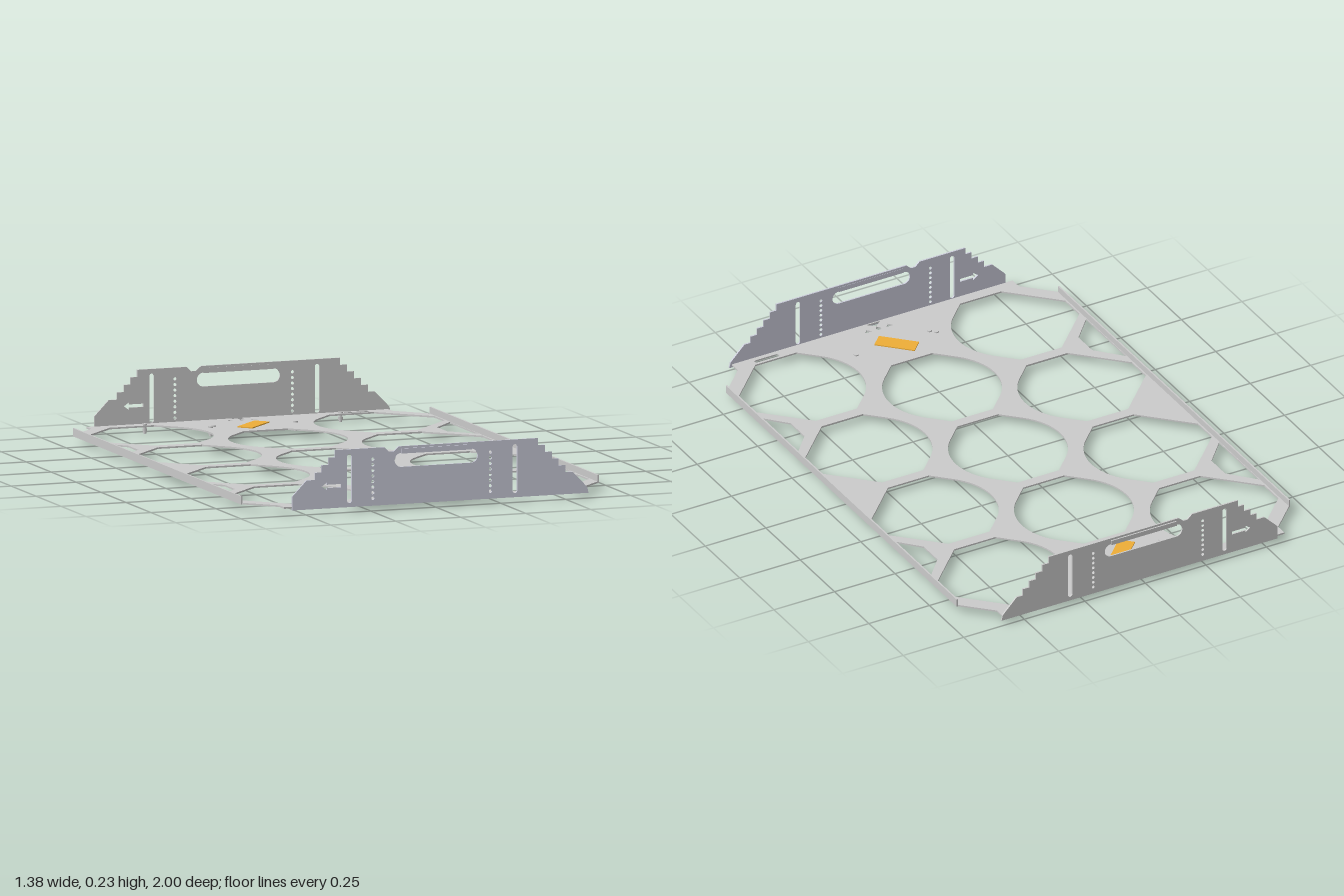
import * as THREE from 'three';

const grey = new THREE.MeshStandardMaterial({ color: 0xcccccc });
const blueGrey = new THREE.MeshStandardMaterial({ color: 0xcbccda });
const orange = new THREE.MeshStandardMaterial({ color: 0xeeae38 });

const points = (list) => list.map(([x, y]) => new THREE.Vector2(x, y));
const poly = (list) => new THREE.Path(points(list));

function circle(x, y, r) {
  return new THREE.Path().absarc(x, y, r, 0, Math.PI * 2, true);
}

// Straight slot with round ends
function slot(x0, y0, x1, y1) {
  const r = Math.min(x1 - x0, y1 - y0) / 2;
  const p = new THREE.Path();
  p.absarc(x1 - r, y1 - r, r, 0, Math.PI / 2, false);
  p.absarc(x0 + r, y1 - r, r, Math.PI / 2, Math.PI, false);
  p.absarc(x0 + r, y0 + r, r, Math.PI, Math.PI * 1.5, false);
  p.absarc(x1 - r, y0 + r, r, Math.PI * 1.5, Math.PI * 2, false);
  return p;
}

function add(parent, name, geometry, x = 0, y = 0, z = 0, material = grey) {
  const mesh = new THREE.Mesh(geometry, material);
  mesh.name = name;
  mesh.position.set(x, y, z);
  parent.add(mesh);
  return mesh;
}

// One side of a cell: an arc meeting 45 degree chamfers, or a flat chamfered edge
function cellSide(side, rounded) {
  const flat = 0.085, half = 0.22;
  const pts = [[flat * side, half]];
  if (rounded) {
    const r = (flat + half) / Math.SQRT2;
    for (let i = 0; i <= 16; i++) {
      const a = Math.PI / 4 - (i / 16) * Math.PI / 2;
      pts.push([side * r * Math.cos(a), r * Math.sin(a)]);
    }
  } else {
    pts.push([side * 0.254, 0.051], [side * 0.254, -0.051]);
  }
  pts.push([flat * side, -half]);
  return pts;
}

function cell(cx, cz, leftRound, rightRound) {
  const pts = [...cellSide(1, rightRound), ...cellSide(-1, leftRound).reverse()];
  return poly(pts.map(([x, z]) => [x + cx, z + cz]));
}

function plateGeometry() {
  // Right edge from back to front, then mirrored, so the outline runs counter-clockwise
  const edge = [[0.58, -0.989], [0.58, -0.944], [0.686, -0.838], [0.686, 0.838], [0.58, 0.944], [0.58, 0.989]];
  const shape = new THREE.Shape(points([...edge, ...edge.map(([x, z]) => [-x, z]).reverse()]));
  // Three staggered columns of cells
  for (const z of [-0.724, -0.241, 0.241, 0.724]) {
    shape.holes.push(cell(-0.423, z, false, true), cell(0.423, z, true, false));
  }
  for (const z of [-0.48, 0, 0.48]) shape.holes.push(cell(0, z, true, true));
  for (const s of [-1, 1]) {
    // Relief notches beside the side lips
    for (const x of [-1, 1]) {
      shape.holes.push(poly([[x * 0.681, s * 0.631], [x * 0.594, s * 0.534], [x * 0.594, s * 0.434], [x * 0.681, s * 0.337]]));
    }
    // Small end perforations
    shape.holes.push(poly([[-0.028, s * 0.983], [0.028, s * 0.983], [0, s * 0.958]]));
    shape.holes.push(circle(0, s * 0.942, 0.01));
    for (const x of [-0.044, 0.044]) {
      shape.holes.push(poly([[x - 0.014, s * 0.936], [x, s * 0.953], [x + 0.014, s * 0.936]]));
    }
    shape.holes.push(slot(0.4, s * 0.962 - 0.008, 0.5, s * 0.962 + 0.008));
  }
  const g = new THREE.ExtrudeGeometry(shape, { depth: 0.006, bevelEnabled: false });
  g.rotateX(Math.PI / 2);
  return g;
}

function wallGeometry() {
  const pts = [[-0.55, 0.018], [0.59, 0.018], [0.585, 0.04], [0.528, 0.098]];
  // Stair-stepped right edge
  for (let i = 0; i < 5; i++) {
    const x = 0.502 - i * 0.0267, y = 0.098 + i * 0.026;
    pts.push([x, y], [x, y + 0.026]);
  }
  // Top edge with a small notch
  pts.push([-0.14, 0.228], [-0.16, 0.211], [-0.178, 0.211], [-0.196, 0.228]);
  // Stair-stepped left edge
  for (let i = 0; i < 4; i++) {
    const x = -0.385 - i * 0.0258, y = 0.228 - i * 0.026;
    pts.push([x, y], [x, y - 0.026]);
  }
  pts.push([-0.495, 0.124], [-0.55, 0.068]);
  const shape = new THREE.Shape(points(pts));

  // Hand hole, long slots and rows of pin holes
  shape.holes.push(slot(-0.156, 0.153, 0.164, 0.204));
  for (const x of [-0.33, 0.307]) shape.holes.push(slot(x - 0.009, 0.033, x + 0.009, 0.211));
  for (const x of [-0.24, 0.212]) {
    for (let i = 0; i < 8; i++) shape.holes.push(circle(x, 0.045 + i * 0.0203, 0.006));
  }
  // Direction arrow cut-out
  shape.holes.push(poly([[-0.437, 0.098], [-0.417, 0.112], [-0.417, 0.104], [-0.362, 0.104],
    [-0.362, 0.092], [-0.417, 0.092], [-0.417, 0.084]]));
  return new THREE.ExtrudeGeometry(shape, { depth: 0.006, bevelEnabled: false, curveSegments: 8 });
}

// Bolt passing through the plate
function addBolt(parent, x, z) {
  const bolt = new THREE.Group();
  bolt.name = 'bolt';
  bolt.position.set(x, 0, z);
  add(bolt, 'boltShank', new THREE.CylinderGeometry(0.006, 0.006, 0.032, 12), 0, 0.016, 0);
  add(bolt, 'boltNut', new THREE.CylinderGeometry(0.009, 0.009, 0.012, 6), 0, 0.013, 0);
  add(bolt, 'boltHead', new THREE.CylinderGeometry(0.009, 0.009, 0.005, 12), 0, 0.0335, 0);
  parent.add(bolt);
}

export function createModel() {
  const model = new THREE.Group();
  model.name = 'perforatedTray';

  add(model, 'basePlate', plateGeometry(), 0, 0.031, 0);

  // Upturned lips along both long sides
  for (const s of [-1, 1]) {
    add(model, 'sideLip', new THREE.BoxGeometry(0.006, 0.03, 1.68), s * 0.686, 0.04, 0);
  }

  const wall = wallGeometry();
  for (const s of [-1, 1]) {
    const end = new THREE.Group();
    end.name = s > 0 ? 'frontEnd' : 'backEnd';
    const paint = s > 0 ? blueGrey : grey;
    add(end, 'endWall', wall, 0, 0, s > 0 ? 0.988 : -0.994, paint);
    // Folded grip above the hand hole
    add(end, 'handleGrip', new THREE.BoxGeometry(0.27, 0.018, 0.012), 0.004, 0.211, s * 0.993, paint);
    // Diagonal label pad
    const pad = add(end, 'labelPad', new THREE.BoxGeometry(0.15, 0.004, 0.06), -0.004, 0.033, s * 0.817, orange);
    pad.rotation.y = -s * Math.PI / 4;
    // Paired bolts on one side, a single one on the other
    for (const [x, z] of [[-0.168, 0.818], [-0.15, 0.836], [0.16, 0.823]]) addBolt(end, x, s * z);
    model.add(end);
  }
  // Corner bolts at the back
  for (const x of [-0.368, 0.385]) addBolt(model, x, -0.958);
  return model;
}
